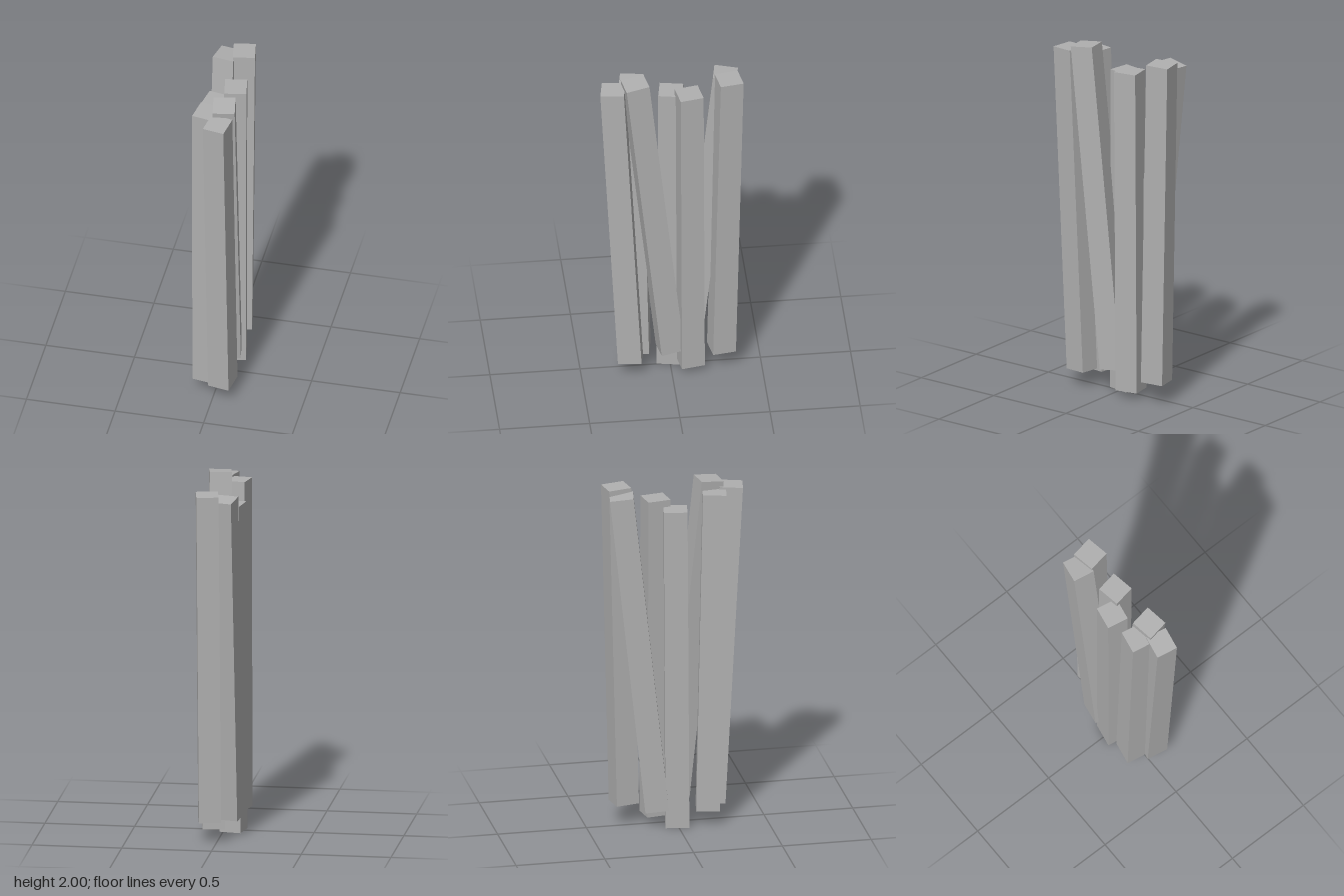
import * as THREE from 'three';

export function createModel() {
  const group = new THREE.Group();
  group.name = 'leaningPosts';
  const grey = new THREE.MeshStandardMaterial({ color: 0xb0b0b0 });
  grey.name = 'grey';

  const up = new THREE.Vector3(0, 1, 0);
  const yaw = THREE.MathUtils.degToRad(10);

  // Square post running between the centres of its two end faces
  function addPost(name, bottom, top, turn) {
    const a = new THREE.Vector3(...bottom);
    const b = new THREE.Vector3(...top);
    const dir = b.clone().sub(a);
    const post = new THREE.Mesh(new THREE.BoxGeometry(0.122, dir.length(), 0.131), grey);
    post.name = name;
    post.position.copy(a).add(b).multiplyScalar(0.5);
    post.quaternion.setFromUnitVectors(up, dir.normalize())
      .multiply(new THREE.Quaternion().setFromAxisAngle(up, turn * yaw));
    group.add(post);
  }

  // Left row, back to front
  addPost('leftRearPost', [0.042, 0.125, -0.28], [0.05, 1.984, -0.322], 1);
  addPost('leftMiddlePost', [0.046, 0.045, -0.107], [0.05, 1.9, -0.1], 1);
  addPost('leftLeaningPost', [0.042, 0.147, 0.005], [0.05, 1.993, 0.2], 1);
  addPost('leftFrontPost', [0.048, 0.097, 0.225], [0.04, 1.953, 0.322], -1);

  // Right row, back to front
  addPost('rightRearPost', [-0.05, 0.107, -0.113], [-0.043, 1.957, -0.311], -1);
  addPost('rightMiddlePost', [-0.051, 0.004, 0.001], [-0.045, 1.861, -0.008], -1);
  addPost('rightFrontPost', [-0.052, 0.088, 0.173], [-0.045, 1.945, 0.212], -1);

  return group;
}
